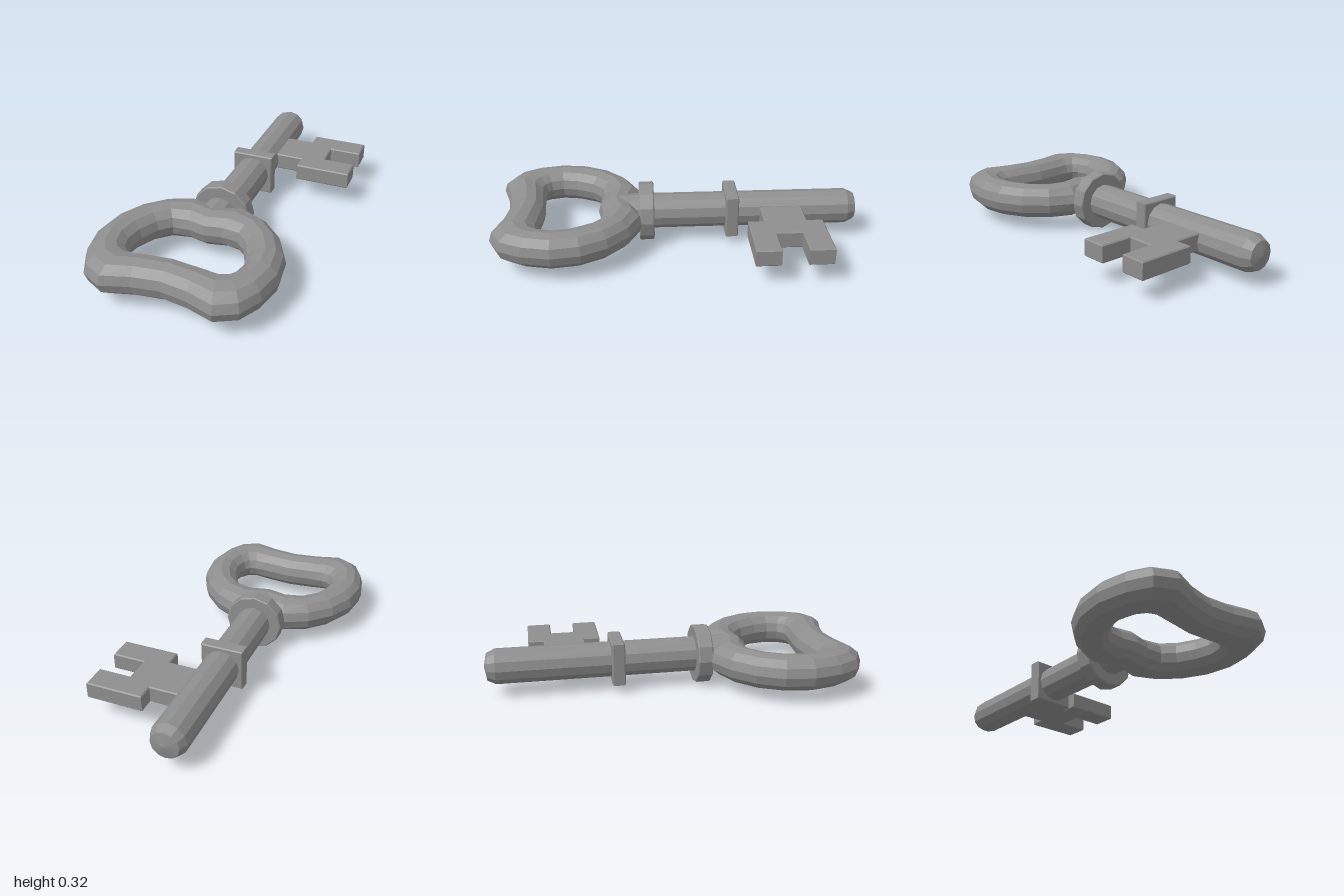
import * as THREE from 'three';

const CX = -0.027, CY = 0.162, R = 0.097, SIDES = 12;
const material = new THREE.MeshStandardMaterial({
  color: 0x8e8e8e, flatShading: true,
});

function add(group, name, geometry, x = CX, y = CY, z = 0) {
  const mesh = new THREE.Mesh(geometry, material);
  mesh.name = name;
  mesh.position.set(x, y, z);
  group.add(mesh);
}

// Turned part along the key's axis; profile is [radius, distance towards the back].
function turned(profile) {
  const points = profile.map(([r, d]) => new THREE.Vector2(r, d));
  return new THREE.LatheGeometry(points, SIDES).rotateX(-Math.PI / 2);
}

// Closed tube; each station is [outerX, outerZ, innerX, innerZ].
function bowGeometry(half) {
  const mirrored = half.slice(1, -1).reverse().map(([a, b, c, d]) => [-a, b, -c, d]);
  const stations = [...half, ...mirrored];
  const n = stations.length, positions = [], index = [];
  stations.forEach(([ox, oz, ix, iz], i) => {
    for (let j = 0; j < SIDES; j++) {
      const a = (j / SIDES) * Math.PI * 2, c = Math.cos(a);
      positions.push(
        (ox + ix) / 2 + c * (ox - ix) / 2,
        R * Math.sin(a),
        (oz + iz) / 2 + c * (oz - iz) / 2,
      );
      const k = (j + 1) % SIDES, p = i * SIDES, q = ((i + 1) % n) * SIDES;
      index.push(p + j, p + k, q + j, p + k, q + k, q + j);
    }
  });
  const geometry = new THREE.BufferGeometry();
  geometry.setAttribute('position', new THREE.Float32BufferAttribute(positions, 3));
  geometry.setIndex(index);
  geometry.computeVertexNormals();
  return geometry;
}

// Plate with a fine bevel, centred on its thickness, facing +z.
function plate(outline, thickness) {
  const b = 0.006;
  const shape = new THREE.Shape(outline.map(([x, y]) => new THREE.Vector2(x, y)));
  return new THREE.ExtrudeGeometry(shape, {
    depth: thickness - 2 * b, bevelEnabled: true, bevelThickness: b,
    bevelSize: b, bevelOffset: -b, bevelSegments: 1,
  }).translate(0, 0, b - thickness / 2);
}

export function createModel() {
  const key = new THREE.Group();
  key.name = 'key';

  // Handle loop, pinched at the shaft and at the front
  add(key, 'bow', bowGeometry([
    [0, 0.245, 0, 0.442], [0.153, 0.2, 0.09, 0.425], [0.286, 0.268, 0.178, 0.432],
    [0.4, 0.38, 0.235, 0.485], [0.47, 0.515, 0.28, 0.58], [0.491, 0.67, 0.295, 0.66],
    [0.459, 0.825, 0.28, 0.72], [0.398, 0.942, 0.255, 0.743], [0.288, 1, 0.222, 0.752],
    [0.143, 0.953, 0.145, 0.748], [0, 0.932, 0, 0.734],
  ]));

  // Shaft with rounded tip
  add(key, 'shaft', turned([[0, -0.33], [R, -0.33], [R, 0.94], [0.075, 0.985], [0, 1]]));

  // Collars
  add(key, 'roundCollar', turned([
    [0, -0.217], [0.156, -0.217], [0.162, -0.211], [0.162, -0.141], [0.156, -0.135], [0, -0.135],
  ]));
  const s = 0.116;
  add(key, 'squareCollar', plate([[-s, -s], [s, -s], [s, s], [-s, s]], 0.07), CX, CY, -0.293);

  // Toothed bit, outline as [x, distance towards the back]
  const bit = plate([
    [0, 0.447], [0.21, 0.447], [0.21, 0.36], [0.517, 0.36], [0.517, 0.493], [0.342, 0.493],
    [0.342, 0.63], [0.517, 0.63], [0.517, 0.763], [0.21, 0.763], [0.21, 0.677], [0, 0.677],
  ], 0.093);
  add(key, 'bit', bit.rotateX(-Math.PI / 2), 0);

  return key;
}
